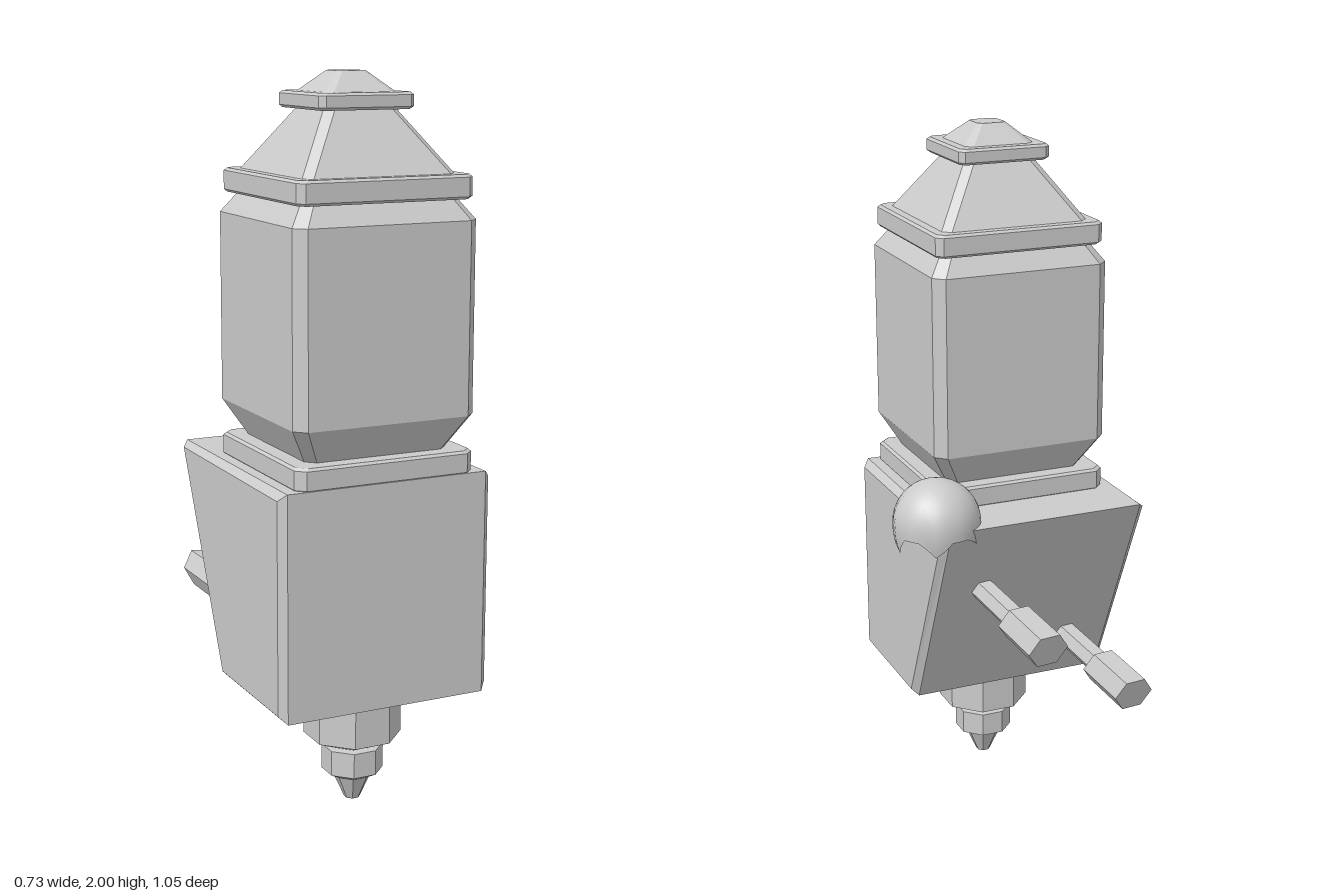
import * as THREE from 'three';

const flat = new THREE.MeshStandardMaterial({ color: 0xcccccc, flatShading: true });
const smooth = new THREE.MeshStandardMaterial({ color: 0xcccccc, side: THREE.DoubleSide });

// Square column with cut corners, lofted through levels of [y, half width, corner cut]
function squareLoft(levels) {
  const pos = [];
  const rings = levels.map(([y, h, c]) => {
    const k = h - c;
    return [[h, -k], [h, k], [k, h], [-k, h], [-h, k], [-h, -k], [-k, -h], [k, -h]].map(([x, z]) => [x, y, z]);
  });
  const tri = (a, b, c) => pos.push(...a, ...b, ...c);
  const last = rings.length - 1;
  for (let i = 0; i < 8; i++) {
    const j = (i + 1) % 8;
    for (let r = 0; r < last; r++) {
      tri(rings[r][i], rings[r + 1][i], rings[r + 1][j]);
      tri(rings[r][i], rings[r + 1][j], rings[r][j]);
    }
    tri([0, levels[0][0], 0], rings[0][i], rings[0][j]);
    tri([0, levels[last][0], 0], rings[last][j], rings[last][i]);
  }
  const g = new THREE.BufferGeometry();
  g.setAttribute('position', new THREE.Float32BufferAttribute(pos, 3));
  g.computeVertexNormals();
  return g;
}

// Collar with bevelled top and bottom edges
function collar(y0, y1, h, cut) {
  const b = 0.007;
  return squareLoft([[y0, h - b, cut], [y0 + b, h, cut], [y1 - b, h, cut], [y1, h - b, cut]]);
}

// Hollow cap whose rim hangs down in pointed drips
function drippingCap(r) {
  const g = new THREE.SphereGeometry(r, 32, 12, 0, Math.PI * 2, 0, Math.PI / 2);
  const p = g.attributes.position, uv = g.attributes.uv;
  // drips: [azimuth from +x towards +z, half width, depth of angle]
  const drips = [[0, 0.4, 0.5], [-1.2, 0.35, 0.4], [-2.4, 0.4, 0.25], [1.6, 0.5, 0.15], [2.9, 0.4, 0.2]];
  for (let i = 0; i < p.count; i++) {
    const phi = uv.getX(i) * Math.PI * 2;
    const az = Math.atan2(Math.sin(phi), -Math.cos(phi));
    let rim = 1.75;
    for (const [a, w, d] of drips) {
      const off = Math.abs(Math.atan2(Math.sin(az - a), Math.cos(az - a)));
      rim += d * Math.max(0, 1 - off / w);
    }
    const theta = (1 - uv.getY(i)) * rim;
    // points at the rim hang straight down instead of curling in
    const s = theta > Math.PI / 2 ? 0.5 + 0.5 * Math.sin(theta) : Math.sin(theta);
    p.setXYZ(i, r * s * Math.cos(az), r * Math.cos(theta), r * s * Math.sin(az));
  }
  g.computeVertexNormals();
  return g;
}

// Six-sided rod with a thicker grip, running back along -z with slanted ends
function leverGeometry(z0, zGrip, zEnd) {
  const profile = [[0, z0], [0.036, z0], [0.036, zGrip], [0.056, zGrip - 0.015], [0.056, zEnd], [0, zEnd]]
    .map(([r, z]) => new THREE.Vector2(r, -z));
  const g = new THREE.LatheGeometry(profile, 6);
  g.rotateY(Math.PI / 6 + 0.08);
  g.rotateX(-Math.PI / 2);
  const p = g.attributes.position;
  for (let i = 0; i < p.count; i++) p.setZ(i, p.getZ(i) - 0.38 * p.getY(i));
  return g;
}

export function createModel() {
  const model = new THREE.Group();
  const add = (name, geometry, x, y, z, material = flat) => {
    const mesh = new THREE.Mesh(geometry, material);
    mesh.name = name;
    mesh.position.set(x, y, z);
    model.add(mesh);
  };
  const cx = -0.053, towerZ = 0.265, nozzleZ = 0.317;

  // Lower housing: bevelled block with a sloping back
  const b = 0.02;
  const side = new THREE.Shape([[0.525, 0.335], [0.525, 0.955], [-0.165, 0.955], [0.115, 0.335]]
    .map(([z, y]) => new THREE.Vector2(z, y)));
  const housing = new THREE.ExtrudeGeometry(side, {
    depth: 0.62 - 2 * b, bevelEnabled: true, bevelSegments: 1, bevelSize: b, bevelThickness: b, bevelOffset: -b,
  });
  housing.translate(0, 0, -(0.62 - 2 * b) / 2);
  housing.rotateY(-Math.PI / 2);
  add('housing', housing, cx, 0, 0);

  // Tower, from the bottom up
  add('baseCollar', collar(0.95, 1.015, 0.259, 0.025), cx, 0, towerZ);
  add('towerBody', squareLoft([
    [1.01, 0.204, 0.025], [1.11, 0.262, 0.03], [1.624, 0.262, 0.03], [1.68, 0.222, 0.025],
  ]), cx, 0, towerZ);
  add('upperCollar', collar(1.677, 1.741, 0.25, 0.018), cx, 0, towerZ);
  add('taperedRoof', squareLoft([[1.735, 0.221, 0.022], [1.91, 0.1, 0.022]]), cx, 0, towerZ);
  add('topCollar', collar(1.903, 1.947, 0.136, 0.015), cx, 0, towerZ);
  add('topCap', squareLoft([[1.94, 0.11, 0.02], [2, 0.042, 0.012]]), cx, 0, towerZ);

  // Eight-sided nozzle under the housing
  const nozzle = new THREE.LatheGeometry([
    [0, 0.005], [0.022, 0.005], [0.054, 0.075], [0.086, 0.092], [0.086, 0.163],
    [0.06, 0.165], [0.135, 0.198], [0.135, 0.345], [0, 0.345],
  ].map(([r, y]) => new THREE.Vector2(r, y)), 8);
  nozzle.rotateY(Math.PI / 8);
  add('nozzle', nozzle, cx, -0.005, nozzleZ);

  // Dripping cap on the back left corner of the housing
  add('cornerCap', drippingCap(0.124), 0.24, 0.956, -0.06, smooth);

  // Levers through the sloping back
  add('upperLever', leverGeometry(0.0, -0.285, -0.507), 0.1, 0.725, 0);
  add('lowerLever', leverGeometry(0.1, -0.185, -0.407), -0.21, 0.49, 0);

  return model;
}
